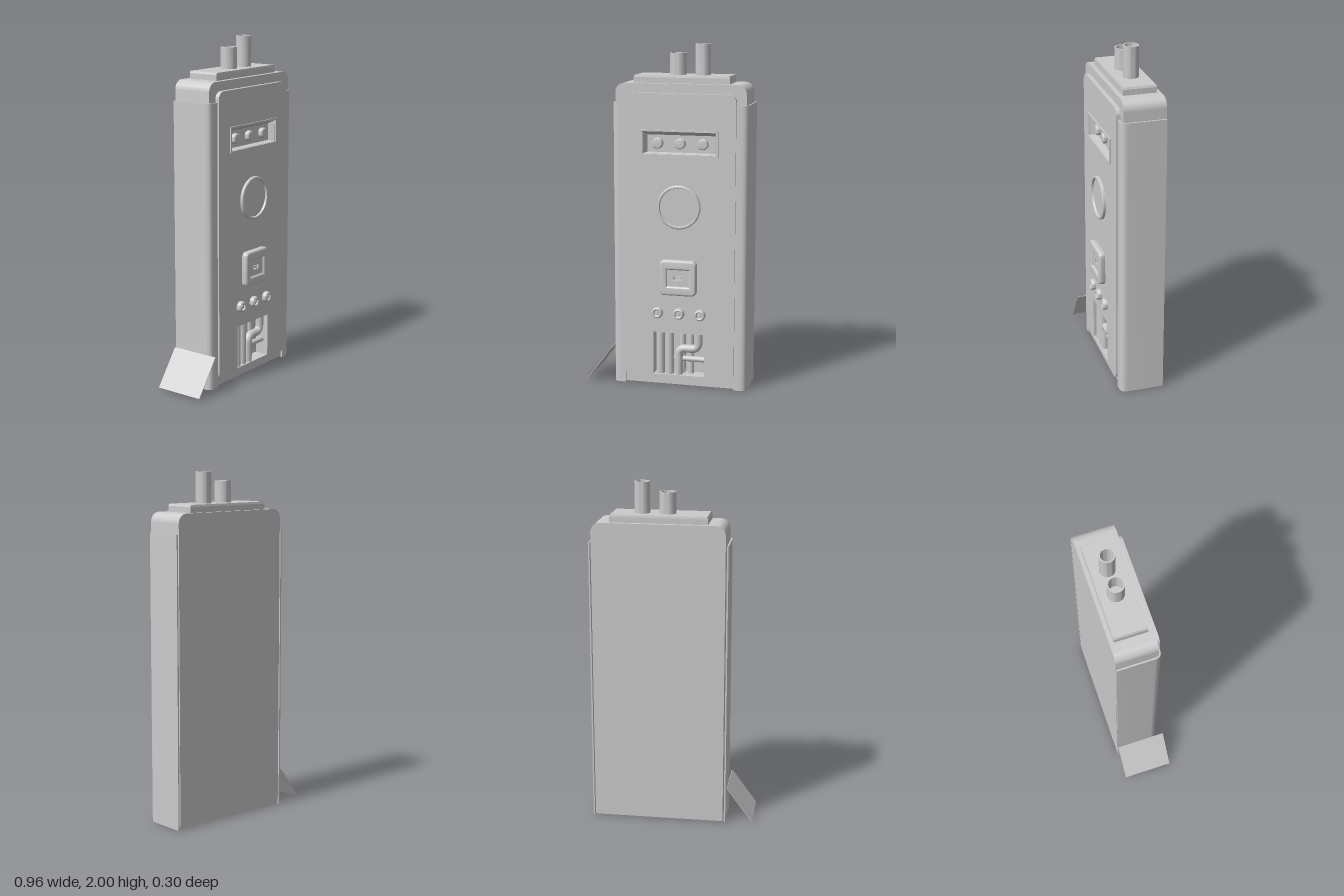
import * as THREE from 'three';
import { toCreasedNormals } from 'three/addons/utils/BufferGeometryUtils.js';

const CX = 0.077; // the case sits off-centre because of the flap
const grey = new THREE.MeshStandardMaterial({ color: 0xcccccc });
const greyDouble = new THREE.MeshStandardMaterial({ color: 0xcccccc, side: THREE.DoubleSide });

// Rectangle with separate top and bottom corner radii
function rect(x0, x1, y0, y1, rt = 0, rb = rt, Type = THREE.Shape) {
  const s = new Type();
  s.moveTo(x0 + rb, y0);
  s.lineTo(x1 - rb, y0);
  if (rb) s.absarc(x1 - rb, y0 + rb, rb, -Math.PI / 2, 0);
  s.lineTo(x1, y1 - rt);
  if (rt) s.absarc(x1 - rt, y1 - rt, rt, 0, Math.PI / 2);
  s.lineTo(x0 + rt, y1);
  if (rt) s.absarc(x0 + rt, y1 - rt, rt, Math.PI / 2, Math.PI);
  s.lineTo(x0, y0 + rb);
  if (rb) s.absarc(x0 + rb, y0 + rb, rb, Math.PI, Math.PI * 1.5);
  return s;
}
const hole = (x0, x1, y0, y1) => rect(x0, x1, y0, y1, 0, 0, THREE.Path);

// Extrude a front-facing shape from z0 to z1, with an optional bevel kept inside the outline
function slab(shape, z0, z1, holes = [], bevel = 0) {
  shape.holes.push(...holes);
  const g = new THREE.ExtrudeGeometry(shape, {
    depth: z1 - z0 - 2 * bevel, curveSegments: 8,
    bevelEnabled: bevel > 0, bevelSize: bevel, bevelThickness: bevel, bevelOffset: -bevel, bevelSegments: 4,
  });
  g.translate(0, 0, z0 + bevel);
  return toCreasedNormals(g, 0.6);
}

// Revolve a profile of [radius, height] points about the z axis
function turned(points, segments = 32) {
  const g = new THREE.LatheGeometry(points.map(([r, h]) => new THREE.Vector2(r, h)), segments);
  return toCreasedNormals(g, 0.6).rotateX(Math.PI / 2);
}

// Four sloping walls between two rectangles [x0, x1, y0, y1, z]
function funnel(a, b) {
  const corners = ([x0, x1, y0, y1, z]) => [[x0, y0, z], [x1, y0, z], [x1, y1, z], [x0, y1, z]];
  const A = corners(a), B = corners(b), pos = [];
  for (let i = 0; i < 4; i++) {
    const j = (i + 1) % 4;
    pos.push(...A[i], ...A[j], ...B[j], ...A[i], ...B[j], ...B[i]);
  }
  const g = new THREE.BufferGeometry();
  g.setAttribute('position', new THREE.Float32BufferAttribute(pos, 3));
  g.computeVertexNormals();
  return g;
}

export function createModel() {
  const model = new THREE.Group();
  model.name = 'wallHeater';
  const add = (name, geometry, material = grey, x = 0, y = 0, z = 0) => {
    const m = new THREE.Mesh(geometry, material);
    m.name = name;
    m.position.set(x, y, z);
    model.add(m);
    return m;
  };

  // Case: solid back, and a front layer with openings for the recesses
  const windowHole = () => hole(-0.135, 0.29, 1.38, 1.505);
  const bayHole = () => hole(-0.075, 0.23, 0.07, 0.325);
  add('caseBack', slab(rect(-0.305, 0.46, 0.005, 1.778, 0.055, 0.015), -0.15, 0.03));
  add('caseFront', slab(rect(-0.305, 0.46, 0.005, 1.778, 0.055, 0.015), 0.03, 0.09, [windowHole(), bayHole()]));
  add('frontPanel', slab(rect(-0.25, 0.405, 0.045, 1.725, 0.045), 0.09, 0.115, [windowHole(), bayHole()]));

  // Thin side covers that wrap round onto the front
  for (const s of [-1, 1]) {
    const X = (d) => CX + s * d;
    const p = new THREE.Shape();
    p.moveTo(X(0.398), 0.15);
    p.lineTo(X(0.398), -0.065);
    p.quadraticCurveTo(X(0.398), -0.105, X(0.358), -0.105);
    p.lineTo(X(0.325), -0.105);
    p.lineTo(X(0.325), -0.096);
    p.lineTo(X(0.358), -0.096);
    p.quadraticCurveTo(X(0.389), -0.096, X(0.389), -0.065);
    p.lineTo(X(0.389), 0.15);
    const g = new THREE.ExtrudeGeometry(p, { depth: 1.665, bevelEnabled: false, curveSegments: 8 });
    add(s > 0 ? 'leftCover' : 'rightCover', toCreasedNormals(g.rotateX(-Math.PI / 2), 0.6));
  }

  // Top plate with a chamfered rim
  add('topPlateBase', new THREE.BoxGeometry(0.56, 0.04, 0.19), grey, CX, 1.79, -0.032);
  const rim = new THREE.CylinderGeometry(0.98, 1, 0.012, 4).rotateY(Math.PI / 4);
  const rimMesh = add('topPlateRim', toCreasedNormals(rim, 0.3), grey, CX, 1.816, -0.032);
  rimMesh.scale.set(0.56 / Math.SQRT2, 1, 0.19 / Math.SQRT2);

  // Open pipes on top
  for (const [x, r, top] of [[0.037, 0.048, 1.945], [0.182, 0.044, 2]]) {
    const h = top - 1.8;
    const pts = [[r, 0], [r, h], [r - 0.009, h], [r - 0.009, 0.03], [0, 0.03]];
    add('topPipe', turned(pts).rotateX(-Math.PI / 2), greyDouble, x, 1.8, -0.034);
  }

  // Recessed display window with three round lamps
  add('windowFrame', slab(rect(-0.15, 0.305, 1.37, 1.518), 0.11, 0.122, [hole(-0.14, 0.295, 1.378, 1.508)]));
  add('windowWalls', funnel([-0.14, 0.295, 1.378, 1.508, 0.122], [-0.12, 0.278, 1.385, 1.485, 0.075]), greyDouble);
  add('windowBack', new THREE.PlaneGeometry(0.4, 0.105), greyDouble, 0.079, 1.435, 0.075);
  for (const x of [-0.055, 0.077, 0.21]) {
    add('lamp', turned([[0.031, 0], [0.031, 0.02], [0.026, 0.026], [0, 0.029]], 24), greyDouble, x, 1.437, 0.075);
  }

  // Round gauge
  const gauge = [[0.127, 0], [0.127, 0.016], [0.122, 0.02], [0.114, 0.02], [0.111, 0.008], [0, 0.008]];
  add('gauge', turned(gauge, 40), greyDouble, CX, 1.075, 0.113);

  // Switch: rounded surround, sunken key and slot
  add('switchSurround', slab(rect(-0.031, 0.185, 0.558, 0.766, 0.028), 0.105, 0.15, [hole(0.013, 0.141, 0.612, 0.71)], 0.012));
  add('switchKey', slab(rect(0.005, 0.149, 0.604, 0.718), 0.11, 0.138, [hole(0.052, 0.102, 0.649, 0.673)]));
  add('switchSlot', new THREE.BoxGeometry(0.034, 0.012, 0.024), grey, CX, 0.661, 0.122);

  // Three knobs, each a rounded ring around a small stud
  for (const x of [-0.05, 0.078, 0.204]) {
    const knob = [[0.033, 0], [0.033, 0.016], [0.029, 0.025], [0.023, 0.028], [0.018, 0.025],
      [0.016, 0.016], [0.011, 0.016], [0.01, 0.023], [0, 0.025]];
    add('knob', turned(knob, 24), greyDouble, x, 0.445, 0.114);
  }

  // Pipework inside the lower bay
  const pipe = (name, pts, r) => {
    const path = new THREE.CurvePath();
    const v = pts.map((p) => new THREE.Vector3(...p));
    let from = v[0];
    for (let i = 1; i < v.length - 1; i++) {
      const a = v[i].clone().lerp(v[i - 1], 0.042 / v[i].distanceTo(v[i - 1]));
      const b = v[i].clone().lerp(v[i + 1], 0.042 / v[i].distanceTo(v[i + 1]));
      path.add(new THREE.LineCurve3(from, a));
      path.add(new THREE.QuadraticBezierCurve3(a, v[i], b));
      from = b;
    }
    path.add(new THREE.LineCurve3(from, v[v.length - 1]));
    add(name, new THREE.TubeGeometry(path, 40, r, 14), greyDouble);
  };
  for (const x of [-0.04, 0.015]) pipe('verticalPipe', [[x, 0.07, 0.082], [x, 0.325, 0.082]], 0.025);
  for (const x of [0.085, 0.135]) pipe('rearPipe', [[x, 0.07, 0.048], [x, 0.325, 0.048]], 0.018);
  pipe('crossPipe', [[0.02, 0.162, 0.07], [0.23, 0.162, 0.07]], 0.016);
  pipe('shortPipe', [[0.07, 0.07, 0.085], [0.07, 0.228, 0.085], [0.188, 0.228, 0.085], [0.188, 0.325, 0.085]], 0.024);

  // Tilted loose flap beside the case
  const flap = add('flap', new THREE.BoxGeometry(0.254, 0.003, 0.298), grey, -0.404, 0.113, -0.001);
  flap.rotation.z = Math.atan2(0.205, 0.15);

  return model;
}
